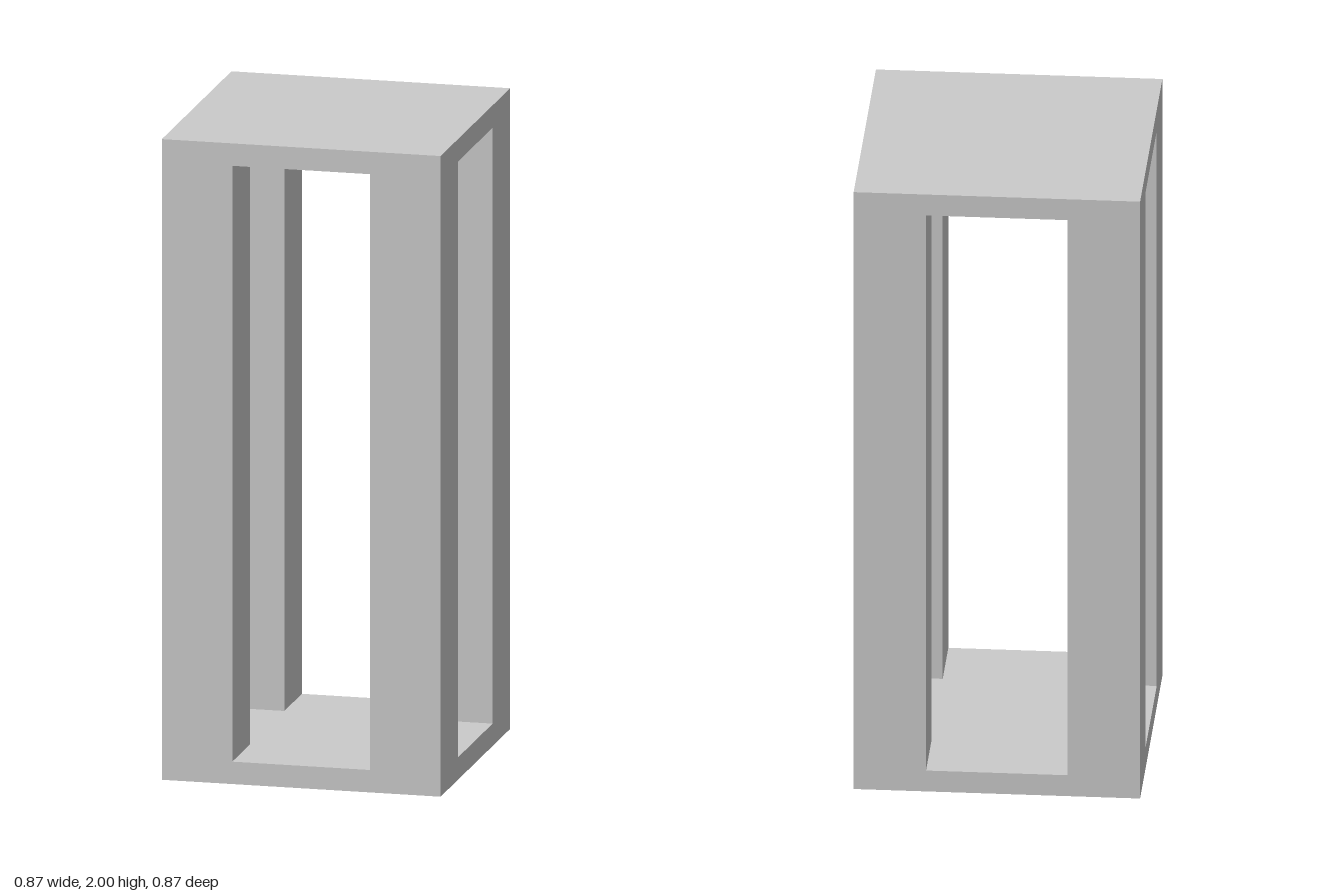
import * as THREE from 'three';

export function createModel() {
  const model = new THREE.Group();
  model.name = 'openPedestal';
  const material = new THREE.MeshStandardMaterial({ color: 0xcccccc });

  const width = 0.87, height = 2, plate = 0.07, post = 0.22;

  function addBox(name, w, h, d, x, y, z) {
    const mesh = new THREE.Mesh(new THREE.BoxGeometry(w, h, d), material);
    mesh.name = name;
    mesh.position.set(x, y, z);
    model.add(mesh);
  }

  // Square plates closing the top and bottom
  addBox('basePlate', width, plate, width, 0, plate / 2, 0);
  addBox('topPlate', width, plate, width, 0, height - plate / 2, 0);

  // Four square corner posts, flush with the plate edges
  const offset = (width - post) / 2;
  for (const [side, sx] of [['Left', 1], ['Right', -1]]) {
    for (const [end, sz] of [['front', 1], ['back', -1]]) {
      addBox(`${end}${side}Post`, post, height - 2 * plate, post, sx * offset, height / 2, sz * offset);
    }
  }

  return model;
}
